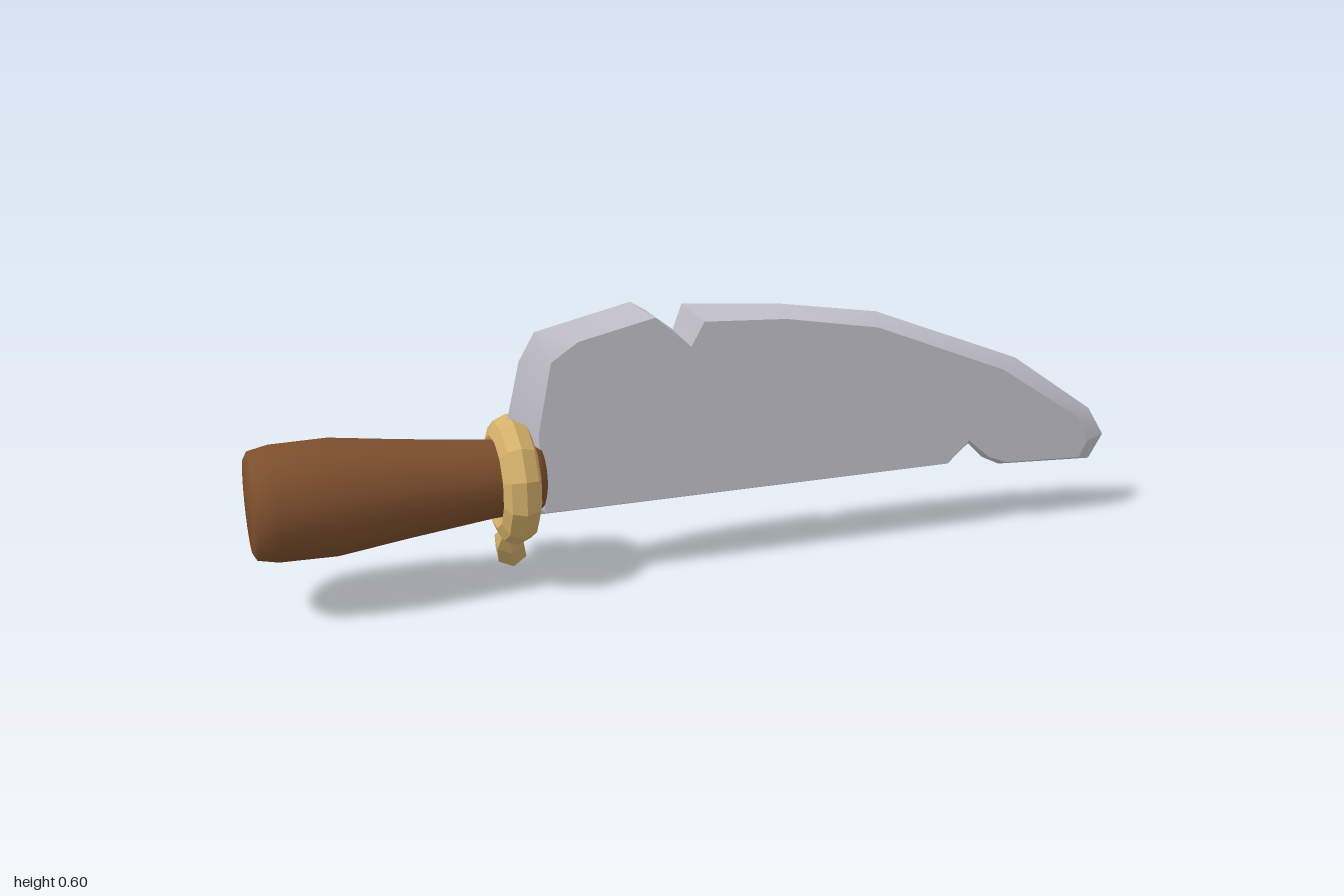
import * as THREE from 'three';
import { toCreasedNormals } from 'three/addons/utils/BufferGeometryUtils.js';

const CZ = 0.03; // depth of the knife's centre plane

// Blade outline, counter-clockwise: [edge x, edge y, face x, face y]
const OUTLINE = [
  [-0.41, 0.155, -0.39, 0.17], [0.585, 0.16, 0.567, 0.172], [0.637, 0.203, 0.62, 0.222],
  [0.675, 0.165, 0.674, 0.176], [0.72, 0.143, 0.72, 0.158], [0.965, 0.13, 0.915, 0.148],
  [1.0, 0.187, 0.936, 0.187], [0.957, 0.256, 0.905, 0.25], [0.75, 0.40, 0.70, 0.385],
  [0.39, 0.54, 0.38, 0.512], [0.16, 0.576, 0.16, 0.55], [-0.07, 0.595, -0.03, 0.56],
  [-0.09, 0.54, -0.06, 0.507], [-0.185, 0.608, -0.14, 0.578], [-0.395, 0.56, -0.31, 0.54],
  [-0.43, 0.50, -0.37, 0.50], [-0.46, 0.37, -0.40, 0.35], [-0.46, 0.22, -0.40, 0.24],
];

// Two flat faces joined by bevels that meet in a central edge
function bladeGeometry(half) {
  const n = OUTLINE.length;
  const faces = THREE.ShapeUtils.triangulateShape(
    OUTLINE.map((p) => new THREE.Vector2(p[2], p[3])), []);
  const positions = [];
  for (const side of [1, -1]) {
    const edge = (i) => [OUTLINE[i][0], OUTLINE[i][1], CZ];
    const face = (i) => [OUTLINE[i][2], OUTLINE[i][3], CZ + side * half];
    const tri = (a, b, c) => positions.push(...a, ...(side > 0 ? b : c), ...(side > 0 ? c : b));
    for (const [a, b, c] of faces) tri(face(a), face(b), face(c));
    for (let i = 0; i < n; i++) {
      const j = (i + 1) % n;
      tri(edge(i), edge(j), face(j));
      tri(edge(i), face(j), face(i));
    }
  }
  const geo = new THREE.BufferGeometry();
  geo.setAttribute('position', new THREE.Float32BufferAttribute(positions, 3));
  return toCreasedNormals(geo, 0.45);
}

// Faceted rope end: a six-sided prism bent through three [x, y, z, radius] stations
function ropeEndGeometry(stations) {
  const geo = new THREE.CylinderGeometry(1, 1, 2, 6, 2);
  const pos = geo.attributes.position;
  const centres = stations.map((s) => new THREE.Vector3(s[0], s[1], s[2]));
  const v = new THREE.Vector3();
  for (let i = 0; i < pos.count; i++) {
    const k = Math.round(pos.getY(i)) + 1;
    const dir = centres[Math.min(k + 1, 2)].clone().sub(centres[Math.max(k - 1, 0)]).normalize();
    const across = new THREE.Vector3(1, 0, 0).addScaledVector(dir, -dir.x).normalize();
    const up = new THREE.Vector3().crossVectors(across, dir);
    v.copy(centres[k])
      .addScaledVector(across, pos.getX(i) * stations[k][3])
      .addScaledVector(up, pos.getZ(i) * stations[k][3]);
    pos.setXYZ(i, v.x, v.y, v.z);
  }
  return flat(geo);
}

function flat(geo) {
  const g = geo.toNonIndexed();
  g.computeVertexNormals();
  return g;
}

export function createModel() {
  const steel = new THREE.MeshStandardMaterial({ color: 0xc9c7d1 });
  steel.name = 'steel';
  const wood = new THREE.MeshStandardMaterial({ color: 0x7d4f2d });
  wood.name = 'wood';
  const rope = new THREE.MeshStandardMaterial({ color: 0xd4b16b });
  rope.name = 'rope';

  const model = new THREE.Group();
  model.name = 'knife';
  const add = (name, geo, mat) => {
    const mesh = new THREE.Mesh(geo, mat);
    mesh.name = name;
    model.add(mesh);
    return mesh;
  };

  add('blade', bladeGeometry(0.036), steel);

  // Handle: turned profile along x, [radius, x]
  const profile = [
    [0, -1], [0.098, -1], [0.112, -0.992], [0.121, -0.95], [0.123, -0.83], [0.104, -0.68],
    [0.084, -0.5], [0.08, -0.41], [0.073, -0.395], [0.06, -0.39], [0, -0.39],
  ].map(([r, x]) => new THREE.Vector2(r, x));
  const handleGeo = toCreasedNormals(new THREE.LatheGeometry(profile, 24), 0.9);
  handleGeo.rotateZ(-Math.PI / 2);
  add('handle', handleGeo, wood).position.set(0, 0.248, CZ);

  // Rope ring: twelve-sided, with an eight-sided section
  const ringGeo = new THREE.TorusGeometry(0.1, 0.041, 8, 12);
  ringGeo.rotateZ(Math.PI / 12);
  ringGeo.rotateY(Math.PI / 2);
  add('ropeRing', flat(ringGeo), rope).position.set(-0.453, 0.241, CZ - 0.002);

  // Two loose rope ends below the knot
  add('upperRopeEnd', ropeEndGeometry([
    [-0.455, 0.127, 0.0, 0.012], [-0.445, 0.126, -0.068, 0.034], [-0.435, 0.152, -0.147, 0.036],
  ]), rope);
  add('lowerRopeEnd', ropeEndGeometry([
    [-0.46, 0.125, 0.015, 0.012], [-0.45, 0.083, -0.03, 0.034], [-0.435, 0.033, -0.083, 0.036],
  ]), rope);

  return model;
}
